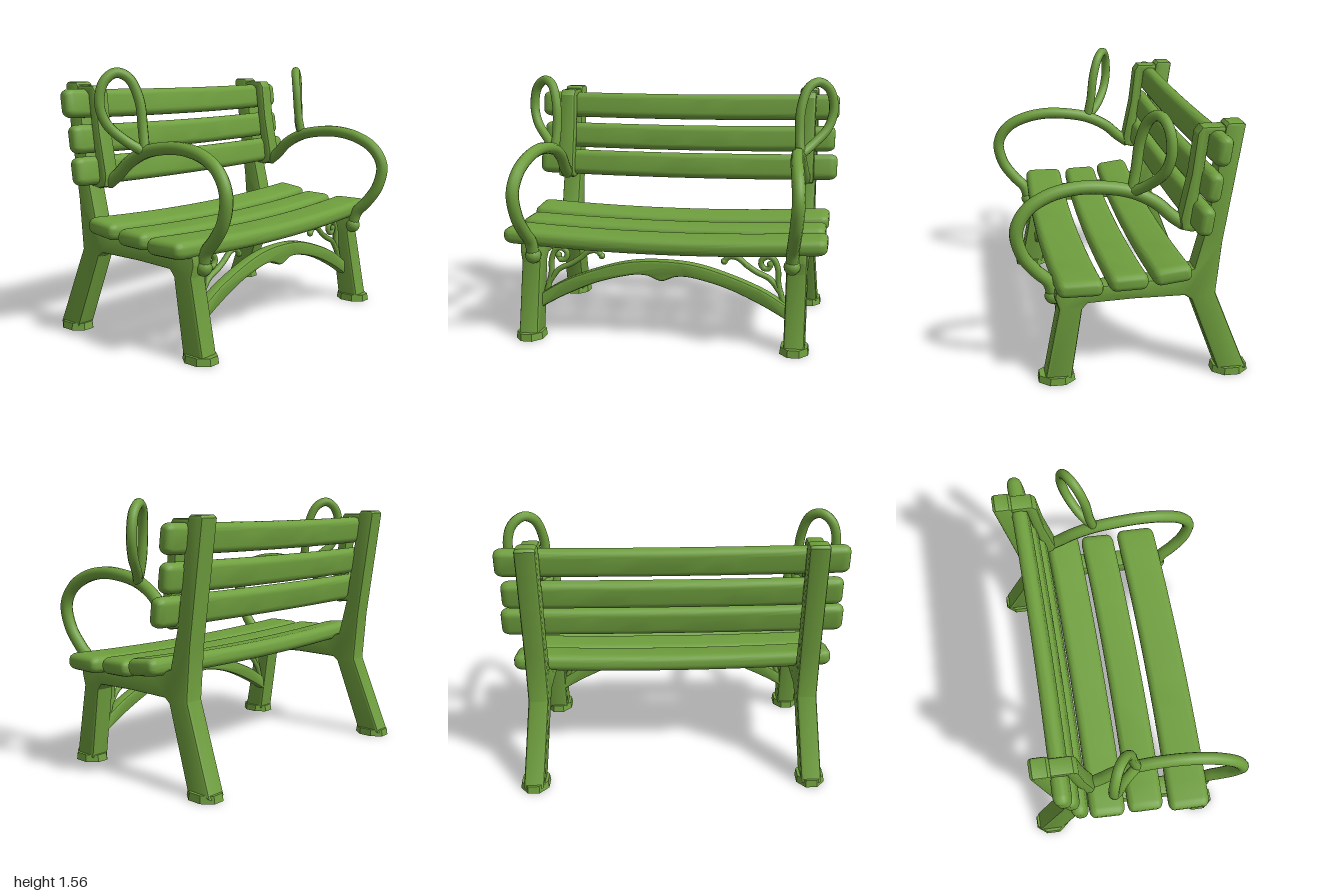
import * as THREE from 'three';
import { toCreasedNormals } from 'three/addons/utils/BufferGeometryUtils.js';

const green = new THREE.MeshStandardMaterial({ color: 0x6f9f3e });
green.name = 'leaf green';

// Move every vertex by a rule
function warp(geo, rule) {
  const p = geo.attributes.position;
  const v = new THREE.Vector3();
  for (let i = 0; i < p.count; i++) {
    v.fromBufferAttribute(p, i);
    rule(v);
    p.setXYZ(i, v.x, v.y, v.z);
  }
  return geo;
}

// The whole bench is slightly skewed: x shifts along its length
const skew = (v) => { v.x += 0.035 * v.z; };

function part(name, geo, crease = 0.7) {
  warp(geo, skew);
  geo = toCreasedNormals(geo, crease);
  const mesh = new THREE.Mesh(geo, green);
  mesh.name = name;
  return mesh;
}

// Bevelled plate from an outline, centred on z = 0
function plate(shape, depth, bevel, steps = 1) {
  const geo = new THREE.ExtrudeGeometry(shape, {
    depth: depth - 2 * bevel, steps, curveSegments: 6,
    bevelEnabled: true, bevelThickness: bevel, bevelSize: bevel, bevelOffset: -bevel, bevelSegments: 2,
  });
  geo.translate(0, 0, -(depth - 2 * bevel) / 2);
  return geo;
}

const outline = (pts) => new THREE.Shape(pts.map(([x, y]) => new THREE.Vector2(x, y)));

function tube(pts, radius, segments = 40) {
  const curve = new THREE.CatmullRomCurve3(pts.map((p) => new THREE.Vector3(...p)));
  return new THREE.TubeGeometry(curve, segments, radius, 10, false);
}

function ball(name, x, y, z, r) {
  return part(name, new THREE.SphereGeometry(r, 12, 8).translate(x, y, z), 1.5);
}

// Rounded plank along z, bowed forward and sagging in the middle
function slat(name, { x, y, w, h, half, tilt, bow, sag }) {
  const r = 0.042, a = w / 2 - r, b = h / 2 - r;
  const s = new THREE.Shape();
  s.absarc(a, b, r, 0, Math.PI / 2);
  s.absarc(-a, b, r, Math.PI / 2, Math.PI);
  s.absarc(-a, -b, r, Math.PI, Math.PI * 1.5);
  s.absarc(a, -b, r, Math.PI * 1.5, Math.PI * 2);
  const depth = 2 * half - 0.1;
  const geo = new THREE.ExtrudeGeometry(s, {
    depth, steps: 16, curveSegments: 4,
    bevelEnabled: true, bevelThickness: 0.05, bevelSize: 0.032, bevelOffset: -0.032, bevelSegments: 4,
  });
  geo.translate(0, 0, -depth / 2).rotateZ(tilt).translate(x, y, 0);
  warp(geo, (v) => {
    const k = 1 - (v.z / half) ** 2;
    v.x += bow * k;
    v.y -= sag * k;
  });
  return part(name, geo, 0.8);
}

// One cast end frame: post, legs, clamp, armrest, loop and scrolls
function endFrame(side) {
  const g = new THREE.Group();
  g.name = side > 0 ? 'leftEnd' : 'rightEnd';
  const zc = 0.795 * side;

  // Back post, seat beam and both legs in one outline
  const frame = plate(outline([
    [-0.585, 1.46], [-0.57, 1.475], [-0.49, 1.475], [-0.475, 1.46], [-0.39, 0.88], [-0.335, 0.66],
    [-0.2, 0.61], [0.3, 0.58], [0.42, 0.585], [0.43, 0.53], [0.41, 0.46], [0.495, 0.02], [0.345, 0.02],
    [0.28, 0.45], [0.25, 0.485], [0, 0.495], [-0.29, 0.495], [-0.325, 0.47],
    [-0.49, 0.02], [-0.655, 0.02], [-0.465, 0.5], [-0.49, 0.8],
  ]), 0.12, 0.018);
  warp(frame, (v) => {
    if (v.x < -0.3 && v.y < 0.5) v.z += side * (0.5 - v.y) * 0.06;
    v.z += zc;
  });
  g.add(part('frame', frame, 0.5));

  // Clamp strip holding the back slats from the front
  g.add(part('backClamp', plate(outline([
    [-0.49, 1.455], [-0.355, 1.455], [-0.33, 1.42], [-0.305, 1.2], [-0.255, 0.95], [-0.265, 0.885],
    [-0.32, 0.87], [-0.41, 0.885], [-0.40, 0.92], [-0.32, 0.92], [-0.365, 1.15], [-0.395, 1.41], [-0.49, 1.42],
  ]), 0.1, 0.014).translate(0, 0, zc), 0.5));

  // Flared feet
  for (const [name, x, z] of [['backFoot', -0.565, 0.823], ['frontFoot', 0.425, 0.795]]) {
    const foot = new THREE.CylinderGeometry(0.105, 0.112, 0.042, 8).rotateY(Math.PI / 8);
    foot.scale(1, 1, 0.8).translate(x, 0.021, z * side);
    g.add(part(name, foot, 0.5));
  }

  // Sweeping armrest
  g.add(part('armrest', tube([
    [-0.29, 0.90, 0.79], [-0.22, 0.95, 0.785], [-0.13, 1.03, 0.775], [0, 1.095, 0.77], [0.15, 1.125, 0.77],
    [0.29, 1.13, 0.775], [0.44, 1.10, 0.785], [0.56, 1.03, 0.80], [0.62, 0.92, 0.81], [0.595, 0.78, 0.80],
    [0.52, 0.67, 0.785], [0.455, 0.60, 0.775], [0.43, 0.52, 0.77],
  ].map(([x, y, z]) => [x, y, z * side]), 0.037, 56), 1.2));
  g.add(ball('armrestFoot', 0.43, 0.51, 0.77 * side, 0.048));

  // Upright loop standing on the armrest
  g.add(part('armLoop', tube([
    [0.0, 1.09, 0.775], [-0.025, 1.22, 0.765], [-0.045, 1.38, 0.77], [-0.085, 1.5, 0.81], [-0.125, 1.53, 0.87],
    [-0.155, 1.48, 0.935], [-0.165, 1.36, 0.96], [-0.14, 1.25, 0.93], [-0.08, 1.16, 0.85], [-0.01, 1.1, 0.78],
  ].map(([x, y, z]) => [x, y, z * side]), 0.029, 52), 1.2));

  // Scrollwork in the corner under the seat
  const scrolls = [
    [[0.27, 0.72], [0.38, 0.69], [0.47, 0.685], [0.53, 0.66], [0.545, 0.62], [0.515, 0.585], [0.475, 0.60], [0.475, 0.635], [0.50, 0.64]],
    [[0.32, 0.71], [0.41, 0.64], [0.45, 0.56], [0.49, 0.50], [0.53, 0.45], [0.535, 0.40], [0.505, 0.37]],
  ];
  for (const pts of scrolls) {
    g.add(part('scroll', tube(pts.map(([y, z]) => [0.35, y, z * side]), 0.017, 30), 1.2));
    const [y, z] = pts[pts.length - 1];
    g.add(ball('scrollTip', 0.35, y, z * side, 0.02));
  }
  return g;
}

export function createModel() {
  const model = new THREE.Group();
  model.name = 'parkBench';
  model.add(endFrame(1), endFrame(-1));

  // Seat planks
  [
    { x: -0.2, y: 0.665, w: 0.215, h: 0.1, half: 0.955, tilt: -0.13, bow: 0.015, sag: 0.03 },
    { x: 0.035, y: 0.632, w: 0.215, h: 0.098, half: 0.945, tilt: -0.03, bow: 0.02, sag: 0.025 },
    { x: 0.3, y: 0.622, w: 0.25, h: 0.098, half: 0.965, tilt: 0, bow: 0.025, sag: 0.03 },
  ].forEach((o) => model.add(slat('seatSlat', o)));

  // Backrest planks
  [
    { x: -0.437, y: 1.357, half: 0.99 },
    { x: -0.402, y: 1.155, half: 0.97 },
    { x: -0.36, y: 0.976, half: 0.99 },
  ].forEach((o) => model.add(slat('backSlat', { ...o, w: 0.09, h: 0.165, tilt: 0.13, bow: 0.012, sag: 0.012 })));

  // Arched brace between the front legs, with a small drop in the middle
  const arch = new THREE.Shape();
  arch.moveTo(-0.75, 0.26);
  arch.splineThru([[-0.6, 0.35], [-0.4, 0.43], [-0.2, 0.485], [0, 0.5], [0.2, 0.485], [0.4, 0.43], [0.6, 0.35], [0.75, 0.26]]
    .map((p) => new THREE.Vector2(...p)));
  arch.lineTo(0.75, 0.17);
  arch.splineThru([[0.6, 0.255], [0.4, 0.345], [0.2, 0.4], [0.09, 0.405], [0, 0.375], [-0.09, 0.405], [-0.2, 0.4], [-0.4, 0.345], [-0.6, 0.255], [-0.75, 0.17]]
    .map((p) => new THREE.Vector2(...p)));
  const archGeo = plate(arch, 0.07, 0.015).rotateY(Math.PI / 2).translate(0.36, 0, 0);
  model.add(part('archBrace', archGeo, 0.6));
  return model;
}
